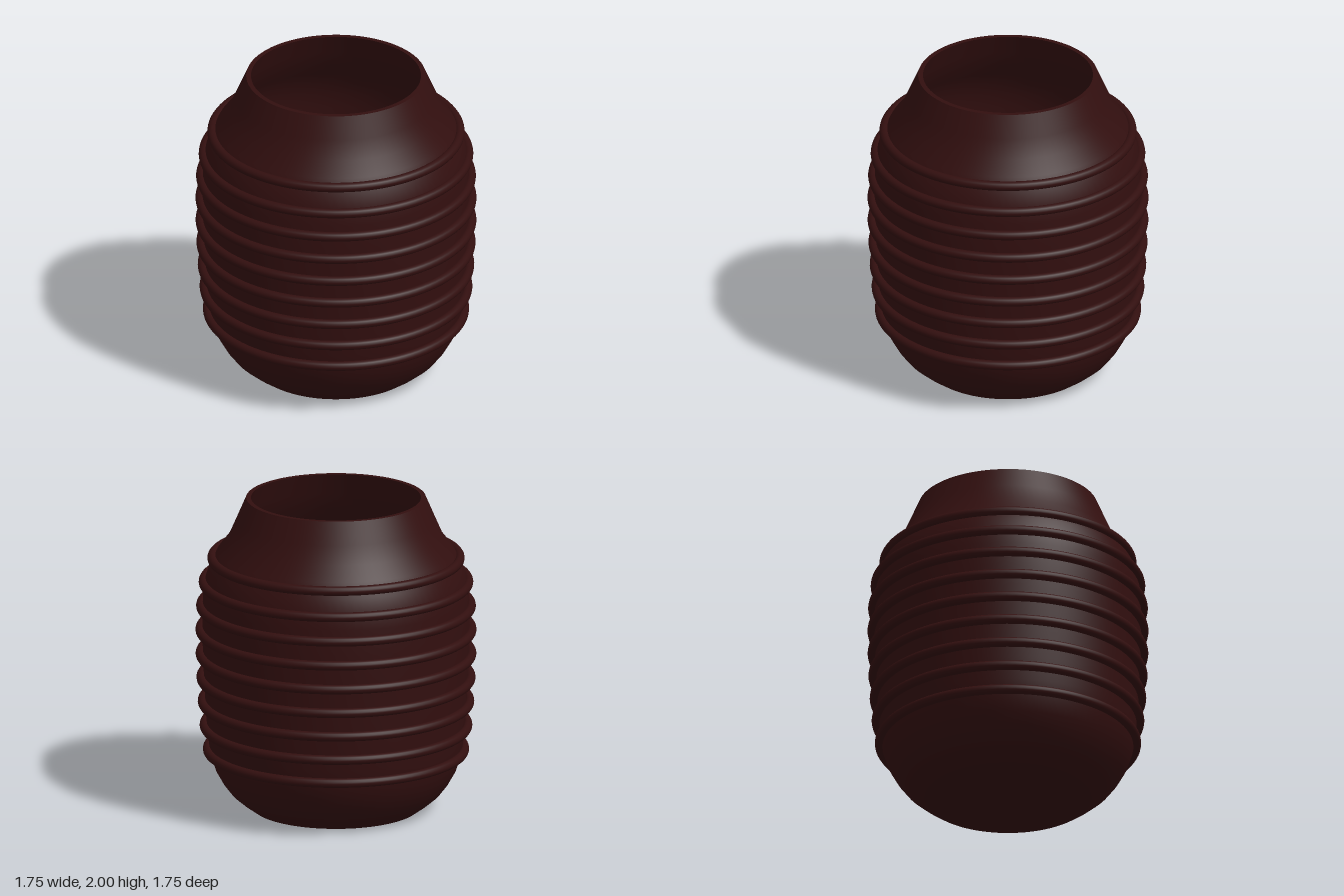
import * as THREE from 'three';

const SEGMENTS = 96;

// Turn a list of [radius, height] pairs around the y axis
function turned(name, pairs, material) {
  const points = pairs.map(([r, y]) => new THREE.Vector2(r, y));
  const mesh = new THREE.Mesh(new THREE.LatheGeometry(points, SEGMENTS), material);
  mesh.name = name;
  return mesh;
}

export function createModel() {
  const group = new THREE.Group();
  group.name = 'ribbedVase';
  const glaze = new THREE.MeshStandardMaterial({ color: 0x320f0f });
  glaze.name = 'dark brown glaze';

  // Outer wall from foot to lip
  const outer = [
    [0.52, 0], [0.59, 0.05], [0.655, 0.105], [0.705, 0.17], [0.75, 0.25], [0.78, 0.34],
    [0.797, 0.45], [0.81, 0.6], [0.82, 0.78], [0.83, 1.0], [0.833, 1.2], [0.83, 1.37],
    [0.817, 1.47], [0.79, 1.56], [0.74, 1.655], [0.67, 1.745], [0.62, 1.86], [0.56, 2],
  ];
  // Inner wall follows the outer one at a thin offset, running downwards
  const wall = 0.03;
  const inner = outer.map(([r, y]) => [r - wall, Math.max(y, wall)]).reverse();

  group.add(
    turned('outerWall', outer, glaze),
    turned('innerWall', inner, glaze),
    turned('rim', [[0.56, 2], [0.56 - wall, 2]], glaze),
    turned('floor', [[0.52 - wall, wall], [0, wall]], glaze),
    turned('base', [[0, 0], [0.52, 0]], glaze),
  );

  // Raised rings, evenly spaced from bottom to top
  const ringRadii = [0.8, 0.82, 0.832, 0.84, 0.845, 0.846, 0.842, 0.826, 0.772];
  ringRadii.forEach((radius, i) => {
    const geometry = new THREE.TorusGeometry(radius, 0.03, 16, SEGMENTS).rotateX(Math.PI / 2);
    const ring = new THREE.Mesh(geometry, glaze);
    ring.name = `ring${i + 1}`;
    ring.position.y = 0.375 + i * 0.1544;
    group.add(ring);
  });

  return group;
}
